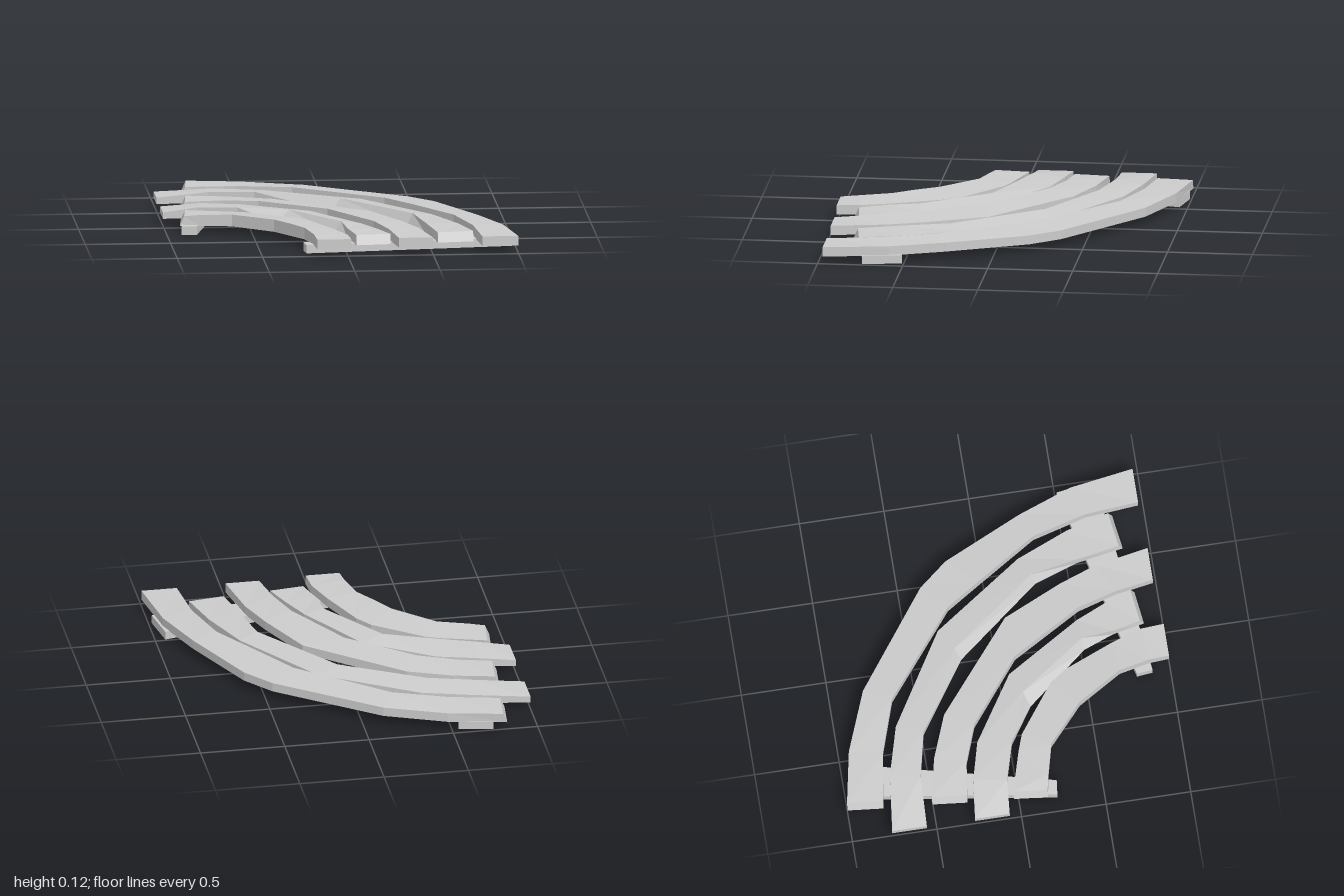
import * as THREE from 'three';

const material = new THREE.MeshStandardMaterial({ color: 0xcccccc, flatShading: true });

// Lofts four-cornered sections (top outer, top inner, bottom inner, bottom outer) into a closed solid
function loft(name, sections) {
  const pos = [];
  const quad = (a, b, c, d) => pos.push(...a, ...b, ...c, ...a, ...c, ...d);
  for (let i = 0; i < sections.length - 1; i++) {
    const s = sections[i], n = sections[i + 1];
    for (let k = 0; k < 4; k++) {
      const j = (k + 1) % 4;
      quad(s[k], s[j], n[j], n[k]);
    }
  }
  const [a, b, c, d] = sections[0];
  quad(d, c, b, a);
  quad(...sections[sections.length - 1]);
  const geometry = new THREE.BufferGeometry();
  geometry.setAttribute('position', new THREE.Float32BufferAttribute(pos, 3));
  geometry.computeVertexNormals();
  const mesh = new THREE.Mesh(geometry, material);
  mesh.name = name;
  return mesh;
}

// Stations are [outer x, outer z, inner x, inner z, optional chamfer of the inner edge]
function plank(name, stations, { startLip = 0, endLip = 0, startTop = 0.1 } = {}) {
  const last = stations.length - 1;
  return loft(name, stations.map(([xo, zo, xi, zi, chamfer = 0], i) => {
    const rise = Math.sin(Math.PI * i / last);
    const top = i === 0 ? startTop : 0.1;
    const bottom = 0.043 + 0.006 * rise;
    // the sawn ends slope: the top edge is pulled in along the plank
    const dx = i === 0 ? startLip : 0;
    const dz = i === last ? -endLip : 0;
    const w = Math.hypot(xo - xi, zo - zi);
    const cx = (xo - xi) / w * chamfer, cz = (zo - zi) / w * chamfer;
    return [
      [xo + dx, top + 0.002 * rise, zo + dz],
      [xi + cx + dx, top + 0.022 * rise, zi + cz + dz],
      [xi, bottom, zi],
      [xo, bottom, zo],
    ];
  }));
}

// Tapered support beam under the planks, from its two edges
function beam(name, [a, b], [c, d]) {
  const section = ([xo, zo], [xi, zi]) =>
    [[xo, 0.05, zo], [xi, 0.05, zi], [xi, 0, zi], [xo, 0, zo]];
  return loft(name, [section(a, b), section(c, d)]);
}

export function createModel() {
  const group = new THREE.Group();
  group.name = 'curvedBoardwalk';

  // Five curved planks, from the outside of the bend to the inside
  group.add(plank('outerPlank', [
    [-0.82, -1.0, -0.84, -0.79],
    [-0.48, -0.94, -0.52, -0.745],
    [-0.12, -0.80, -0.20, -0.64],
    [0.46, -0.37, 0.31, -0.23],
    [0.60, -0.20, 0.44, -0.03],
    [0.82, 0.27, 0.67, 0.33],
    [0.94, 0.59, 0.76, 0.65],
    [1.0, 0.97, 0.79, 0.97],
  ], { startLip: 0.025 }));

  group.add(plank('secondPlank', [
    [-1.0, -0.765, -1.0, -0.56],
    [-0.66, -0.725, -0.70, -0.55],
    [-0.37, -0.645, -0.43, -0.49],
    [0.18, -0.31, 0.0, -0.20, 0.06],
    [0.55, 0.22, 0.40, 0.30, 0.04],
    [0.68, 0.53, 0.49, 0.56],
    [0.75, 0.81, 0.54, 0.84],
  ], { endLip: 0.025, startTop: 0.08 }));

  group.add(plank('middlePlank', [
    [-0.86, -0.505, -0.88, -0.30],
    [-0.60, -0.455, -0.65, -0.27],
    [-0.34, -0.355, -0.43, -0.19],
    [0.20, 0.09, -0.05, 0.11],
    [0.36, 0.44, 0.19, 0.52],
    [0.44, 0.66, 0.26, 0.75],
    [0.50, 0.98, 0.30, 0.98],
  ], { startLip: 0.025 }));

  group.add(plank('fourthPlank', [
    [-1.0, -0.275, -1.0, -0.07],
    [-0.77, -0.25, -0.80, -0.055],
    [-0.54, -0.19, -0.57, 0.01],
    [-0.15, 0.06, -0.35, 0.155, 0.08],
    [0.12, 0.50, -0.05, 0.52, 0.05],
    [0.20, 0.68, 0.02, 0.70],
    [0.26, 0.865, 0.06, 0.89],
  ], { endLip: 0.025, startTop: 0.08 }));

  group.add(plank('innerPlank', [
    [-0.90, -0.03, -0.92, 0.17],
    [-0.63, 0.04, -0.80, 0.19],
    [-0.53, 0.075, -0.62, 0.235],
    [-0.24, 0.29, -0.39, 0.44],
    [-0.17, 0.39, -0.31, 0.57],
    [-0.05, 0.68, -0.23, 0.70],
    [0.01, 0.86, -0.19, 0.88],
    [0.02, 1.0, -0.18, 1.0],
  ], { startLip: 0.025 }));

  // Two support beams fanning outward
  group.add(beam('backBeam',
    [[-0.74, -0.99], [-0.915, 0.225]], [[-0.54, -0.95], [-0.825, 0.235]]));
  group.add(beam('frontBeam',
    [[0.94, 0.51], [-0.245, 0.80]], [[0.98, 0.74], [-0.235, 0.895]]));

  return group;
}
